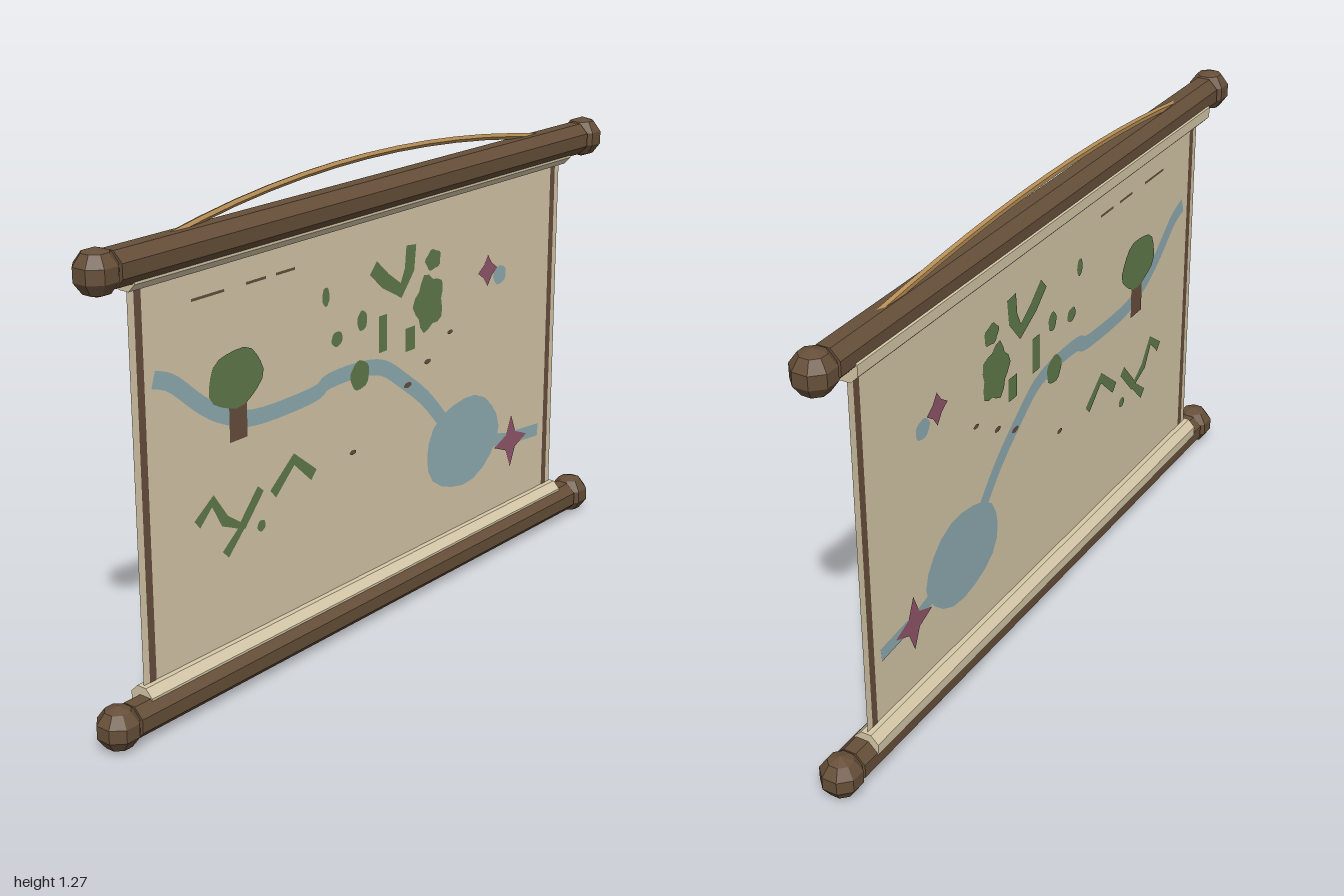
import * as THREE from 'three';

const mat = (name, color, double = false) => {
  const m = new THREE.MeshStandardMaterial({ color, flatShading: true });
  m.name = name;
  if (double) m.side = THREE.DoubleSide;
  return m;
};

const PAPER_Z = -0.012;
const BOTTOM = 0.06, TOP = 1.167;

// flat ribbon of constant width along a smooth or angular path
function ribbon(points, width, smooth = false) {
  let pts = points.map(([x, y]) => new THREE.Vector2(x, y));
  if (smooth) pts = new THREE.SplineCurve(pts).getPoints(40);
  const left = [], right = [];
  pts.forEach((p, i) => {
    const a = pts[Math.max(i - 1, 0)], b = pts[Math.min(i + 1, pts.length - 1)];
    const d = b.clone().sub(a).normalize().multiplyScalar(width / 2);
    left.push(new THREE.Vector2(p.x - d.y, p.y + d.x));
    right.unshift(new THREE.Vector2(p.x + d.y, p.y - d.x));
  });
  return new THREE.Shape([...left, ...right]);
}

// ellipse with a slightly uneven rim
function blob(x, y, rx, ry, wobble = 0.04) {
  const pts = [];
  for (let i = 0; i < 20; i++) {
    const a = (i / 20) * Math.PI * 2, k = 1 + wobble * Math.sin(a * 5 + x * 20);
    pts.push(new THREE.Vector2(x + Math.cos(a) * rx * k, y + Math.sin(a) * ry * k));
  }
  return new THREE.Shape(pts);
}

function star(x, y, r, inner) {
  const pts = [];
  for (let i = 0; i < 8; i++) {
    const a = (i / 8) * Math.PI * 2, k = i % 2 ? inner : r;
    pts.push(new THREE.Vector2(x + Math.cos(a) * k, y + Math.sin(a) * k));
  }
  return new THREE.Shape(pts);
}

const rect = (x0, x1, y0, y1) => ribbon([[x0, (y0 + y1) / 2], [x1, (y0 + y1) / 2]], y1 - y0);

export function createModel() {
  const group = new THREE.Group();
  group.name = 'hangingMapScroll';

  const wood = mat('dark wood', 0x664f39);
  const paperMat = mat('parchment', 0xd6c8a8, true);
  const cordMat = mat('tan cord', 0xb58d55);
  const ink = mat('brown ink', 0x684f3d, true);
  const water = mat('water blue', 0x90adb3, true);
  const green = mat('forest green', 0x617b4b, true);
  const red = mat('marker red', 0x92566a, true);

  const add = (name, geometry, material, x = 0, y = 0, z = 0) => {
    const mesh = new THREE.Mesh(geometry, material);
    mesh.name = name;
    mesh.position.set(x, y, z);
    group.add(mesh);
    return mesh;
  };

  // rods with knobs, and the rolled paper beside each rod
  const bar = (r, length) => new THREE.CylinderGeometry(r, r, length, 8)
    .rotateY(Math.PI / 8).rotateZ(Math.PI / 2);
  for (const [label, y, rollY] of [['bottom', BOTTOM, 0.09], ['top', TOP, 1.137]]) {
    add(label + 'Rod', bar(0.047, 1.82), wood, 0, y);
    add(label + 'PaperRoll', bar(0.038, 1.715), paperMat, 0, rollY, PAPER_Z);
    for (const side of [-1, 1]) {
      const knob = new THREE.SphereGeometry(0.057, 8, 5).rotateY(Math.PI / 8);
      add(label + 'Knob', knob, wood, side * 0.947, y);
    }
  }

  // sheet
  add('paperSheet', new THREE.PlaneGeometry(1.7, 1.05), paperMat, 0, 0.6135, PAPER_Z);

  // hanging cord, leaning backwards
  const cordPoints = [];
  for (let i = 0; i <= 8; i++) {
    const t = i / 4 - 1, h = 1 - t * t;
    cordPoints.push(new THREE.Vector3(t * 0.73, 1.2 + 0.062 * h, -0.004 - 0.021 * h));
  }
  add('hangingCord', new THREE.TubeGeometry(
    new THREE.CatmullRomCurve3(cordPoints), 12, 0.009, 5), cordMat);

  // painted shapes, repeated on both faces of the sheet
  const paint = (name, shapes, material, lift) => {
    for (const side of [-1, 1]) {
      add(name, new THREE.ShapeGeometry(shapes), material, 0, 0, PAPER_Z + side * lift);
    }
  };

  paint('sideBorders', [rect(-0.83, -0.808, 0.1, 1.13), rect(0.808, 0.83, 0.1, 1.13)], ink, 0.001);

  paint('river', ribbon([[-0.78, 0.875], [-0.72, 0.85], [-0.63, 0.775], [-0.55, 0.725],
    [-0.44, 0.69], [-0.23, 0.69], [-0.17, 0.71], [-0.05, 0.71], [0.05, 0.69],
    [0.14, 0.63], [0.24, 0.55], [0.34, 0.44]], 0.043, true), water, 0.001);
  paint('lake', blob(0.41, 0.378, 0.168, 0.13, 0.02), water, 0.0013);
  paint('lakeOutlet', ribbon([[0.52, 0.35], [0.62, 0.325], [0.78, 0.31]], 0.038), water, 0.0016);
  paint('pond', blob(0.57, 0.832, 0.03, 0.027), water, 0.001);

  paint('treeTrunk', rect(-0.535, -0.473, 0.65, 0.77), ink, 0.002);
  paint('treeCrown', blob(-0.51, 0.808, 0.095, 0.074), green, 0.003);

  paint('hills', [
    ribbon([[-0.655, 0.475], [-0.6, 0.52], [-0.56, 0.455], [-0.5, 0.42], [-0.56, 0.365]], 0.03),
    ribbon([[-0.5, 0.42], [-0.43, 0.5]], 0.028),
    ribbon([[-0.385, 0.47], [-0.305, 0.54], [-0.23, 0.475]], 0.032),
    blob(-0.43, 0.4, 0.015, 0.015),
  ], green, 0.002);

  paint('forest', [
    blob(-0.177, 0.935, 0.014, 0.025), blob(-0.135, 0.815, 0.022, 0.02),
    blob(-0.035, 0.84, 0.02, 0.027), blob(-0.045, 0.695, 0.038, 0.04),
    rect(0.032, 0.066, 0.735, 0.835),
    ribbon([[0.01, 0.97], [0.06, 0.925], [0.125, 0.885], [0.16, 0.935], [0.167, 1.0]], 0.042),
    blob(0.245, 0.825, 0.062, 0.075, 0.14), blob(0.262, 0.94, 0.033, 0.028, 0.1),
    rect(0.145, 0.185, 0.71, 0.775),
  ], green, 0.002);

  paint('dashes', [rect(-0.65, -0.54, 1.03, 1.037), rect(-0.465, -0.395, 1.03, 1.037),
    rect(-0.36, -0.29, 1.03, 1.037)], ink, 0.001);

  paint('trail', [[-0.075, 0.49, 0.013], [0.155, 0.615, 0.016], [0.24, 0.66, 0.014], [0.34, 0.72, 0.012]]
    .map(([x, y, r]) => blob(x, y, r, r * 0.5)), ink, 0.0025);

  paint('markers', [star(0.64, 0.315, 0.08, 0.033), star(0.51, 0.857, 0.045, 0.026)], red, 0.003);

  return group;
}
